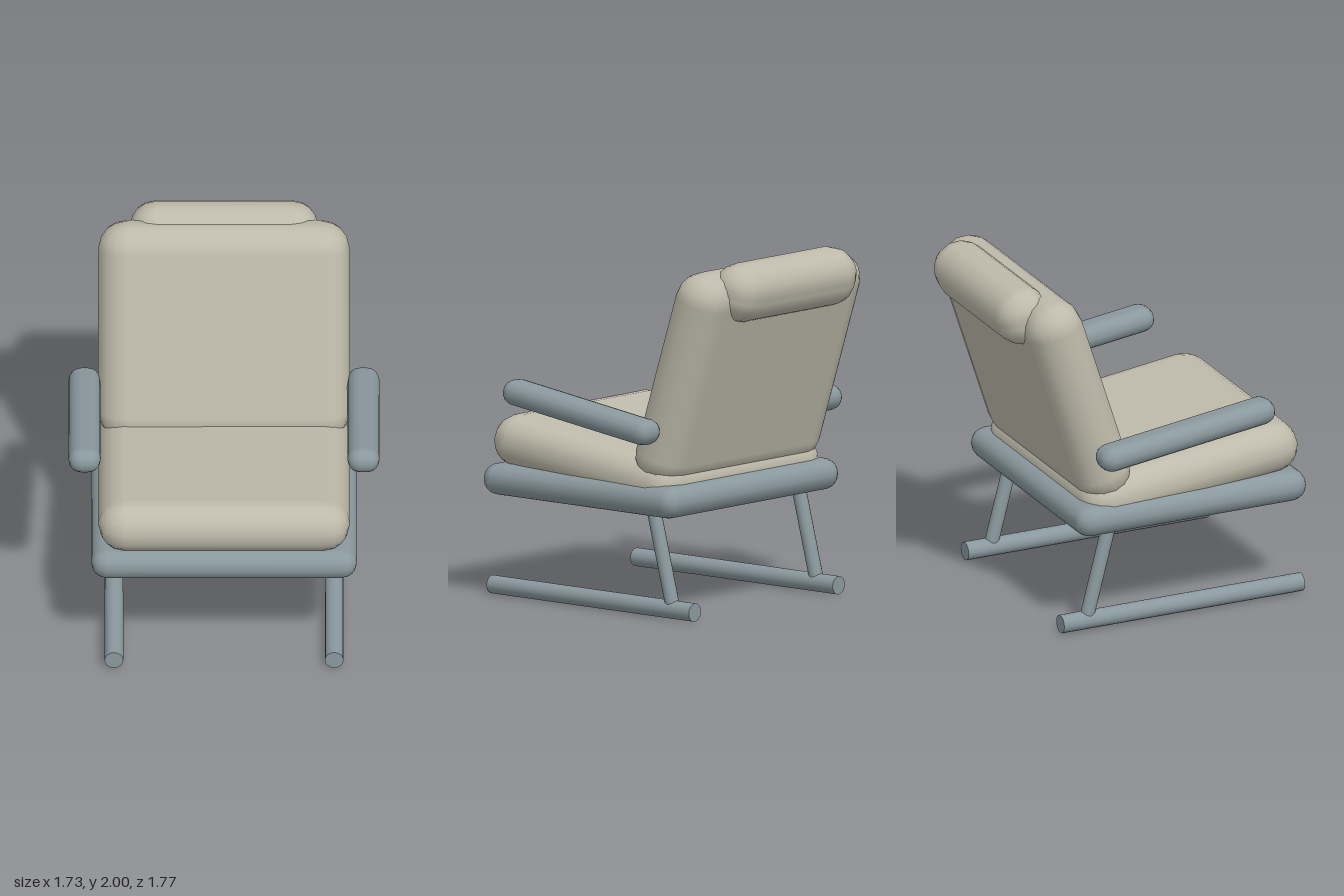
import * as THREE from 'three';
import { RoundedBoxGeometry } from 'three/addons/geometries/RoundedBoxGeometry.js';

export function createModel() {
  const chair = new THREE.Group();
  chair.name = 'armchair';

  const cushion = new THREE.MeshStandardMaterial({ color: 0xbfbbab });
  cushion.name = 'beige cushion';
  const frame = new THREE.MeshStandardMaterial({ color: 0x8a999e });
  frame.name = 'blue grey frame';

  // Soft block tilted backwards by an angle in degrees
  function softBlock(name, size, radius, position, tilt, material) {
    const mesh = new THREE.Mesh(new RoundedBoxGeometry(...size, 2, radius), material);
    mesh.name = name;
    mesh.position.set(...position);
    mesh.rotation.x = -THREE.MathUtils.degToRad(tilt);
    chair.add(mesh);
  }

  // Round bar between two points
  function bar(name, from, to, radius) {
    const a = new THREE.Vector3(...from), b = new THREE.Vector3(...to);
    const dir = b.clone().sub(a);
    const mesh = new THREE.Mesh(new THREE.CylinderGeometry(radius, radius, dir.length(), 16), frame);
    mesh.name = name;
    mesh.position.copy(a).add(b).multiplyScalar(0.5);
    mesh.quaternion.setFromUnitVectors(new THREE.Vector3(0, 1, 0), dir.normalize());
    chair.add(mesh);
  }

  // Seat platform and cushions
  softBlock('seatBase', [1.48, 0.18, 1.42], 0.089, [0, 0.66, 0.177], 0, frame);
  softBlock('seatCushion', [1.4, 0.3, 1.344], 0.149, [0, 0.802, 0.21], 7.5, cushion);
  softBlock('backrest', [1.4, 1.271, 0.33], 0.164, [0, 1.347, -0.461], 18, cushion);
  softBlock('headPillow', [1.05, 0.33, 0.31], 0.15, [0, 1.84, -0.73], 18, cushion);

  // Armrests, legs and floor runners on both sides
  for (const [side, s] of [['left', 1], ['right', -1]]) {
    softBlock(side + 'Armrest', [0.18, 0.145, 1.083], 0.072, [s * 0.775, 1.127, 0.093], 7.6, frame);
    bar(side + 'Leg', [s * 0.612, 0.07, -0.437], [s * 0.612, 0.66, -0.283], 0.04);
    bar(side + 'Runner', [s * 0.612, 0.052, -0.6], [s * 0.612, 0.052, 0.885], 0.052);
  }

  return chair;
}
